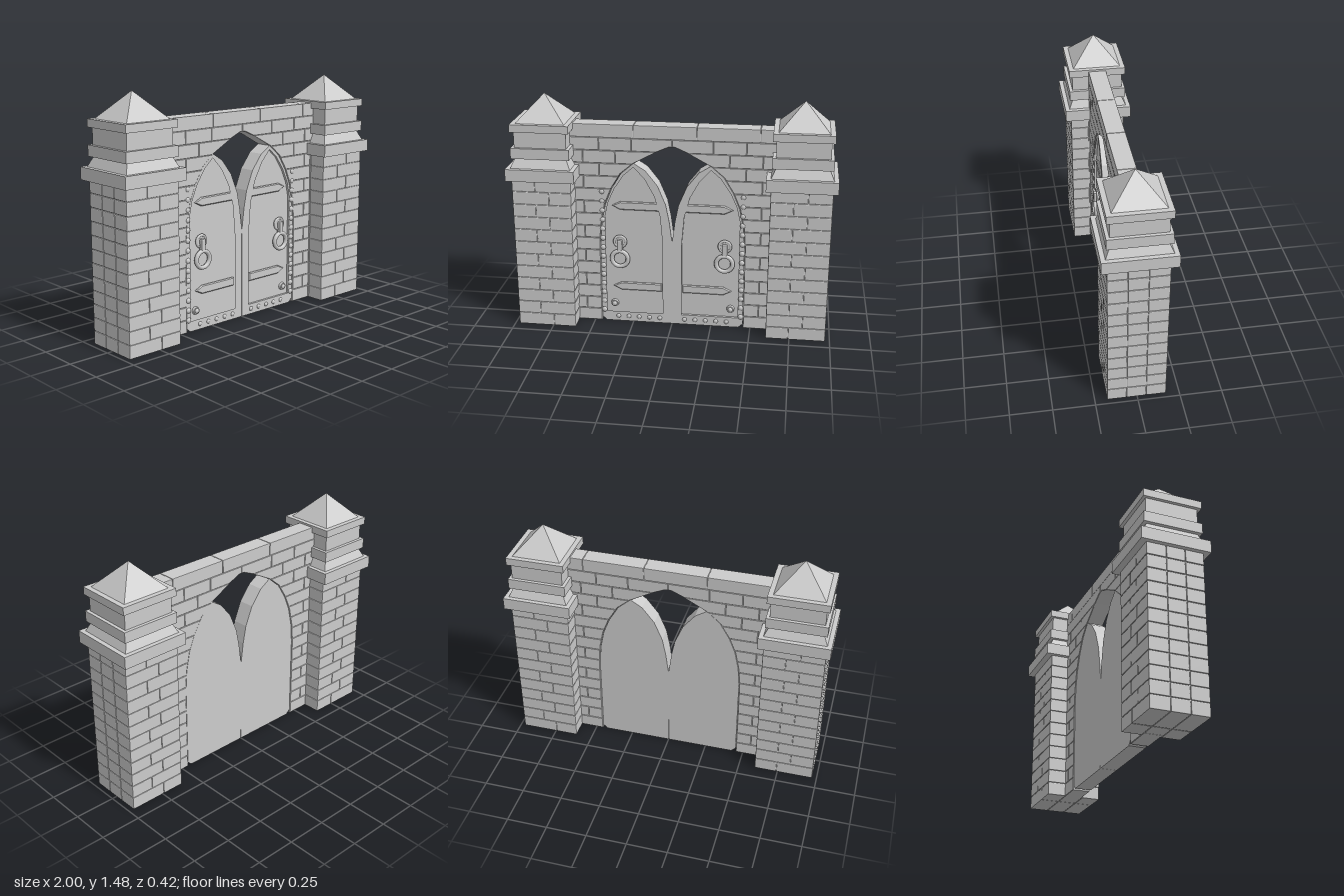
import * as THREE from 'three';
import { RoundedBoxGeometry } from 'three/addons/geometries/RoundedBoxGeometry.js';

const flat = new THREE.MeshStandardMaterial({ color: 0xcccccc, flatShading: true });
const smooth = new THREE.MeshStandardMaterial({ color: 0xcccccc });

// Half of the arched opening, from the ground to the apex
const ARCH = [[0.455, 0], [0.455, 0.55], [0.445, 0.68], [0.42, 0.8], [0.38, 0.9],
  [0.32, 1.0], [0.24, 1.07], [0.1, 1.145], [0.02, 1.18], [0, 1.182]];
const ROW = 1.31 / 16;
const WALL_END = 0.64;

function halfOpening(y) {
  for (let i = 1; i < ARCH.length; i++) {
    const [x0, y0] = ARCH[i - 1], [x1, y1] = ARCH[i];
    if (y <= y1) return x0 + (x1 - x0) * (y - y0) / (y1 - y0);
  }
  return 0;
}

function add(parent, name, geometry, x = 0, y = 0, z = 0, material = flat) {
  const mesh = new THREE.Mesh(geometry, material);
  mesh.name = name;
  mesh.position.set(x, y, z);
  parent.add(mesh);
  return mesh;
}

function group(parent, name) {
  const g = new THREE.Group();
  g.name = name;
  parent.add(g);
  return g;
}

// Point list to shape; s = -1 mirrors it to the other side
const shapeOf = (pts, s = 1) => new THREE.Shape(pts.map(([x, y]) => new THREE.Vector2(x * s, y)));

// Extrude a shape from z0 to z1, with an optional inward chamfer
function slab(shape, z0, z1, bevel = 0) {
  const g = new THREE.ExtrudeGeometry(shape, {
    depth: z1 - z0 - 2 * bevel, bevelEnabled: bevel > 0, bevelSize: bevel,
    bevelOffset: -bevel, bevelThickness: bevel, bevelSegments: 1,
  });
  return g.translate(0, 0, z0 + bevel);
}

// Square block that may taper from half-width a (bottom) to b (top)
function squareBlock(a, b, y0, y1) {
  const g = new THREE.CylinderGeometry(b * Math.SQRT2, a * Math.SQRT2, y1 - y0, 4);
  return g.rotateY(Math.PI / 4).translate(0, (y0 + y1) / 2, 0);
}

function buildPillar(parent, s) {
  const p = group(parent, s > 0 ? 'leftPillar' : 'rightPillar');
  p.position.x = 0.787 * s;
  add(p, 'pillarCore', new THREE.BoxGeometry(0.355, 0.97, 0.338), 0, 0.49, 0.003);
  // Staggered brick courses
  const zs = [-0.172, -0.052, 0.063, 0.178];
  for (let r = 0; r < 12; r++) {
    const xs = r % 2 ? [-0.185, 0.04, 0.185] : [-0.185, -0.045, 0.185];
    for (let i = 0; i < 2; i++) for (let k = 0; k < 3; k++) {
      const w = xs[i + 1] - xs[i], d = zs[k + 1] - zs[k];
      add(p, 'pillarBrick', new RoundedBoxGeometry(w - 0.002, ROW - 0.002, d - 0.002, 1, 0.005),
        s * (xs[i] + w / 2), (r + 0.5) * ROW, zs[k] + d / 2);
    }
  }
  // Stepped capital and pyramid roof
  add(p, 'capitalSlab', squareBlock(0.212, 0.212, 0.975, 1.05));
  add(p, 'capitalSlope', squareBlock(0.185, 0.157, 1.05, 1.11));
  add(p, 'lowerBand', squareBlock(0.18, 0.18, 1.11, 1.175));
  add(p, 'neck', squareBlock(0.16, 0.16, 1.175, 1.275));
  add(p, 'upperBand', squareBlock(0.18, 0.18, 1.275, 1.322));
  add(p, 'roof', squareBlock(0.15, 0, 1.322, 1.48));
}

function buildWall(parent) {
  const w = group(parent, 'wall');
  // Mortar body with the arched opening
  const left = ARCH.map(([x, y]) => [-x, y]);
  const outline = [[-WALL_END, 0], ...left, ...ARCH.slice(0, -1).reverse(),
    [WALL_END, 0], [WALL_END, 1.305], [-WALL_END, 1.305]];
  add(w, 'mortar', slab(shapeOf(outline), -0.05, 0.05));
  // Brick courses, the innermost brick cut to the arch
  for (const s of [1, -1]) for (let r = 0; r < 15; r++) {
    const y0 = r * ROW, y1 = y0 + ROW;
    const joints = [];
    for (let x = r % 2 ? 0.15 : 0.05; x < WALL_END - 0.04; x += 0.2) {
      if (x > halfOpening(y0) + 0.04) joints.push(x);
    }
    joints.push(WALL_END);
    joints.forEach((xb, i) => {
      const pts = [[xb, y1], [xb, y0]];
      if (i) pts.push([joints[i - 1], y0], [joints[i - 1], y1]);
      else {
        const ys = [y0, ...ARCH.map((a) => a[1]).filter((y) => y > y0 + 0.01 && y < y1 - 0.01), y1];
        ys.forEach((y) => pts.push([halfOpening(y), y]));
      }
      add(w, 'wallBrick', slab(shapeOf(pts, s), -0.056, 0.056, 0.003));
    });
  }
  // Coping stones
  const ends = [-WALL_END, -0.235, 0.15, 0.53, WALL_END];
  for (let i = 0; i < 4; i++) {
    add(w, 'copingStone', new RoundedBoxGeometry(ends[i + 1] - ends[i] - 0.002, ROW, 0.112, 1, 0.004),
      (ends[i] + ends[i + 1]) / 2, 15.5 * ROW, 0);
  }
}

function rivet(parent, x, y, z, r) {
  const g = new THREE.SphereGeometry(r, 10, 4, 0, Math.PI * 2, 0, Math.PI / 2);
  g.rotateX(Math.PI / 2).scale(1, 1, 0.7);
  add(parent, 'rivet', g, x, y, z, smooth);
}

function buildDoor(parent, s) {
  const d = group(parent, s > 0 ? 'leftDoor' : 'rightDoor');
  const side = ARCH.slice(1, 7).map(([x, y]) => [x - 0.003, y]);
  const outline = [[0.001, 0], [0.425, 0], [0.452, 0.025], ...side,
    [0.165, 1.025], [0.09, 0.93], [0.04, 0.81], [0.018, 0.7], [0.001, 0.57]];
  const inner = [[0.06, 0.065], [0.42, 0.065], [0.42, 0.72], [0.4, 0.81], [0.36, 0.9], [0.3, 0.99],
    [0.238, 1.045], [0.17, 0.97], [0.11, 0.86], [0.075, 0.73], [0.06, 0.55]];
  add(d, 'doorPanel', slab(shapeOf(outline, s), -0.052, 0.035));
  const border = shapeOf(outline, s);
  border.holes.push(shapeOf(inner, s));
  add(d, 'doorBorder', slab(border, 0.034, 0.051));
  // Iron straps with pointed ends
  for (const y of [0.245, 0.79]) {
    const strap = [[0.065, y - 0.027], [0.325, y - 0.027], [0.378, y], [0.325, y + 0.027], [0.065, y + 0.027]];
    add(d, 'strap', slab(shapeOf(strap, s), 0.034, 0.05, 0.006));
  }
  // Rivets along the bottom and the outer edge
  for (let i = 0; i < 5; i++) rivet(d, s * (0.08 + i * 0.067), 0.034, 0.05, 0.015);
  for (let i = 0; i < 14; i++) rivet(d, s * 0.438, 0.075 + i * 0.062, 0.05, 0.018);
  // Corner bolt
  const disc = new THREE.CylinderGeometry(0.022, 0.026, 0.016, 14).rotateX(Math.PI / 2);
  add(d, 'cornerBolt', disc, s * 0.372, 0.12, 0.042);
  rivet(d, s * 0.372, 0.12, 0.05, 0.016);
  // Ring handle
  const h = group(d, 'ringHandle');
  h.position.set(s * 0.33, 0, 0);
  const plate = new THREE.CylinderGeometry(0.03, 0.038, 0.02, 20).rotateX(Math.PI / 2);
  add(h, 'handlePlate', plate, 0, 0.55, 0.043);
  add(h, 'plateRim', new THREE.TorusGeometry(0.036, 0.009, 6, 24), 0, 0.55, 0.047, smooth);
  add(h, 'handleLink', new RoundedBoxGeometry(0.034, 0.085, 0.03, 1, 0.008), 0, 0.525, 0.058);
  add(h, 'ring', new THREE.TorusGeometry(0.051, 0.014, 8, 28), 0, 0.44, 0.062, smooth);
}

export function createModel() {
  const model = new THREE.Group();
  model.name = 'castleGate';
  buildWall(model);
  for (const s of [1, -1]) {
    buildPillar(model, s);
    buildDoor(model, s);
  }
  return model;
}
